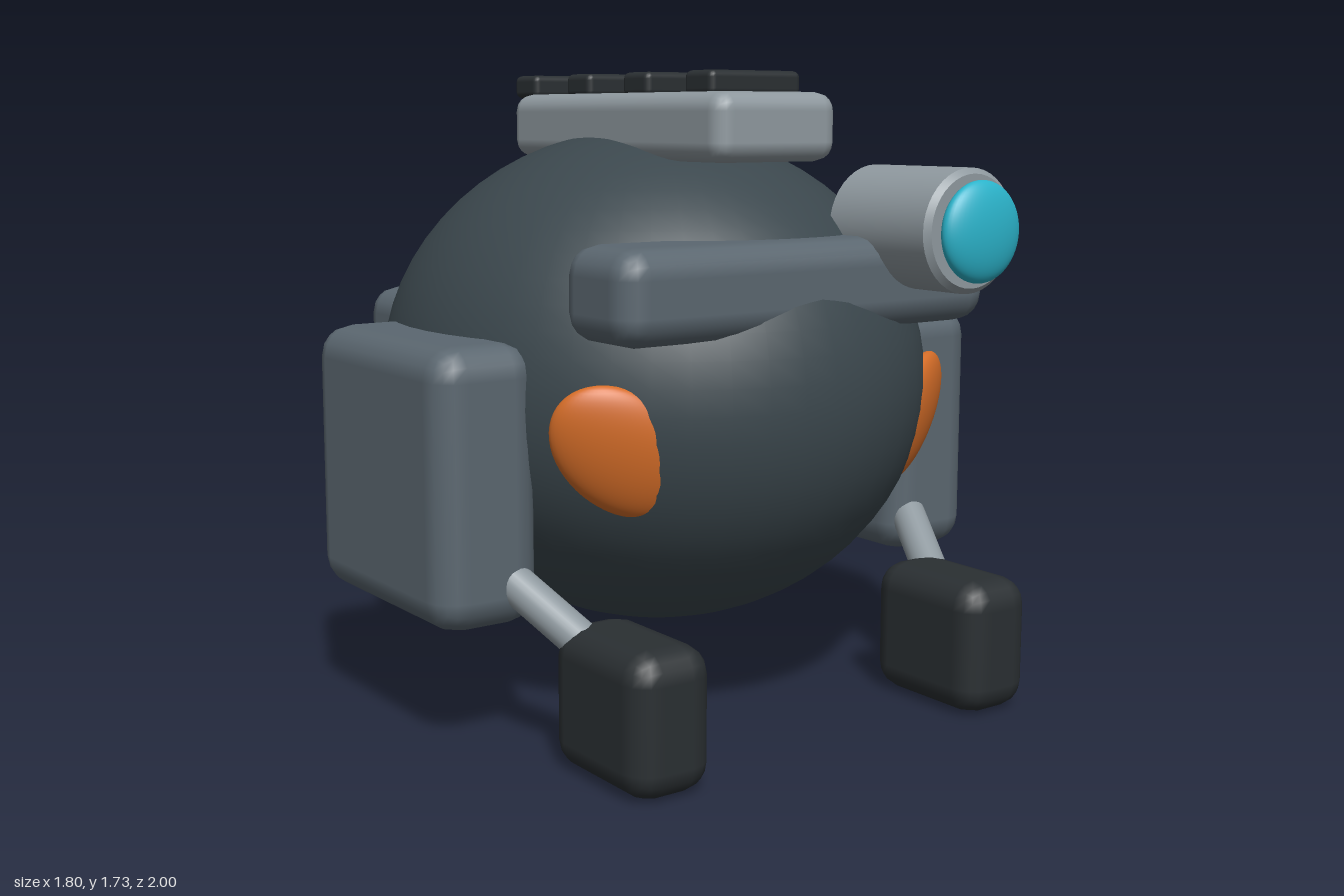
import * as THREE from 'three';
import { RoundedBoxGeometry } from 'three/addons/geometries/RoundedBoxGeometry.js';
import { toCreasedNormals } from 'three/addons/utils/BufferGeometryUtils.js';

const paint = (color) => new THREE.MeshStandardMaterial({ color });

export function createModel() {
  const model = new THREE.Group();
  const shell = paint(0x3b474d), slate = paint(0x5b6770), metal = paint(0x8f999f);
  const dark = paint(0x2a2f32), orange = paint(0xd56d28), cyan = paint(0x2bb3ca);

  const add = (name, geometry, material, x = 0, y = 0, z = 0) => {
    const mesh = new THREE.Mesh(geometry, material);
    mesh.name = name;
    mesh.position.set(x, y, z);
    model.add(mesh);
    return mesh;
  };
  const box = (name, material, [w, h, d], radius, [x, y, z]) =>
    add(name, new RoundedBoxGeometry(w, h, d, 2, radius), material, x, y, z);
  const ball = (rx, ry, rz) => new THREE.SphereGeometry(1, 48, 32).scale(rx, ry, rz);

  // Egg-shaped hull
  add('body', ball(0.745, 0.693, 0.815), shell, 0, 0.882, 0);

  // Brow bar across the front
  box('brow', slate, [1.2, 0.24, 0.295], 0.075, [0, 1.18, 0.6025]);

  // Eye barrel with bevelled rims, lying along z, and its bulging lens
  const profile = [[0, -0.19], [0.145, -0.19], [0.16, -0.175], [0.16, 0.175], [0.145, 0.19], [0, 0.19]];
  const barrel = new THREE.LatheGeometry(profile.map(([r, y]) => new THREE.Vector2(r, y)), 40);
  barrel.rotateX(Math.PI / 2);
  add('eyeBarrel', toCreasedNormals(barrel, 0.6), metal, 0.34, 1.32, 0.74);
  add('eyeLens', ball(0.13, 0.13, 0.045), cyan, 0.34, 1.32, 0.955);

  // Spine rail with four ribs
  box('spineRail', metal, [0.4, 0.18, 1.01], 0.05, [0, 1.58, 0.075]);
  for (let i = 0; i < 4; i++) {
    box('spineRib', dark, [0.3, 0.065, 0.12], 0.018, [0, 1.6925, 0.42 - i * 0.283]);
  }

  // Rear pack with a light strip
  box('rearPack', slate, [0.88, 0.42, 0.275], 0.08, [0, 0.87, -0.7975]);
  box('rearLight', cyan, [0.52, 0.1, 0.06], 0.025, [0, 0.915, -0.97]);

  for (const s of [1, -1]) {
    // Side pod
    box('sidePod', slate, [0.3, 0.72, 0.72], 0.085, [s * 0.75, 0.69, 0.035]);

    // Cheek lamp: a sphere slanted to lie along the hull
    const cheek = new THREE.SphereGeometry(1, 40, 28).applyMatrix4(new THREE.Matrix4().set(
      0.1, s * 0.065, s * -0.12, 0,
      0, 0.175, 0, 0,
      0, 0, 0.1, 0,
      0, 0, 0, 1));
    add('cheekLamp', cheek, orange, s * 0.48, 0.785, 0.567);

    // Leg strut from the pod down into the foot
    const hip = new THREE.Vector3(s * 0.73, 0.52, 0.25);
    const ankle = new THREE.Vector3(s * 0.56, 0.27, 0.625);
    const along = hip.clone().sub(ankle);
    const leg = add('leg', new THREE.CylinderGeometry(0.05, 0.05, along.length(), 24), metal);
    leg.position.copy(hip).add(ankle).multiplyScalar(0.5);
    leg.quaternion.setFromUnitVectors(new THREE.Vector3(0, 1, 0), along.normalize());

    // Foot
    box('foot', dark, [0.235, 0.365, 0.4], 0.075, [s * 0.54, 0.1825, 0.685]);
  }
  return model;
}
